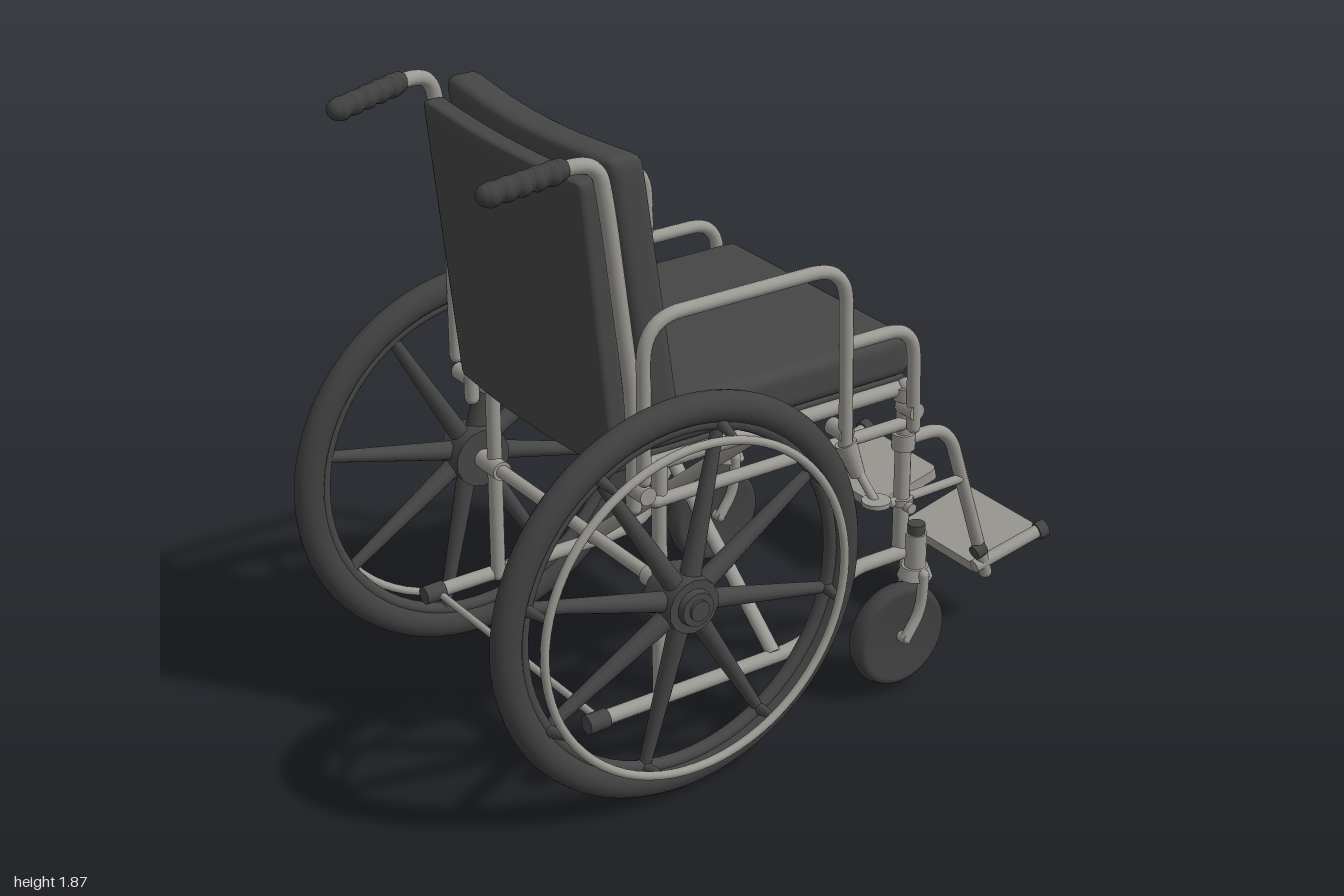
import * as THREE from 'three';
import { mergeVertices } from 'three/addons/utils/BufferGeometryUtils.js';

const V = (x, y, z) => new THREE.Vector3(x, y, z);

export function createModel() {
  const root = new THREE.Group();
  root.name = 'wheelchair';
  const mat = (name, color) => {
    const m = new THREE.MeshStandardMaterial({ color });
    m.name = name;
    return m;
  };
  const metal = mat('satin metal', 0x9c9a94);
  const dark = mat('black padding', 0x464646);
  const rubber = mat('black rubber', 0x414141);

  const add = (parent, name, geo, m, x = 0, y = 0, z = 0) => {
    const mesh = new THREE.Mesh(geo, m);
    mesh.name = name;
    mesh.position.set(x, y, z);
    parent.add(mesh);
    return mesh;
  };

  // Straight rod between two points, optionally tapered
  const rod = (parent, name, a, b, r, m, r2 = r) => {
    const d = b.clone().sub(a);
    const mesh = add(parent, name, new THREE.CylinderGeometry(r2, r, d.length(), 14), m);
    mesh.position.copy(a).addScaledVector(d, 0.5);
    mesh.quaternion.setFromUnitVectors(V(0, 1, 0), d.normalize());
    return mesh;
  };

  // Bent pipe with rounded corners and rounded ends
  const pipe = (parent, name, pts, r, m, bend = 0.08) => {
    const path = new THREE.CurvePath();
    let from = pts[0];
    for (let i = 1; i < pts.length - 1; i++) {
      const p = pts[i];
      const cut = (q) => p.clone().add(q.clone().sub(p).setLength(Math.min(bend, q.distanceTo(p) * 0.48)));
      const a = cut(pts[i - 1]), b = cut(pts[i + 1]);
      path.add(new THREE.LineCurve3(from, a));
      path.add(new THREE.QuadraticBezierCurve3(a, p, b));
      from = b;
    }
    path.add(new THREE.LineCurve3(from, pts[pts.length - 1]));
    const g = new THREE.Group();
    g.name = name;
    parent.add(g);
    add(g, name + 'Tube', new THREE.TubeGeometry(path, 20 * pts.length, r, 12), m);
    for (const p of [pts[0], pts[pts.length - 1]])
      add(g, name + 'End', new THREE.SphereGeometry(r, 12, 8), m, p.x, p.y, p.z);
  };

  // Soft rounded pad; shape(p) bends each vertex
  const pad = (name, w, h, d, r, m, shape, x, y, z) => {
    let geo = new THREE.BoxGeometry(2, 2, 2, 20, 20, 20);
    geo.deleteAttribute('normal');
    geo.deleteAttribute('uv');
    geo = mergeVertices(geo, 1e-4);
    const pos = geo.attributes.position, half = V(w / 2, h / 2, d / 2);
    const p = V(0, 0, 0), q = V(0, 0, 0);
    const inner = half.clone().subScalar(r), low = inner.clone().negate();
    for (let i = 0; i < pos.count; i++) {
      p.fromBufferAttribute(pos, i);
      for (const k of ['x', 'y', 'z']) p[k] = Math.sin(p[k] * Math.PI / 2) * half[k];
      q.copy(p).clamp(low, inner);
      p.sub(q);
      if (p.length() > r) p.setLength(r);
      p.add(q);
      shape(p);
      pos.setXYZ(i, p.x, p.y, p.z);
    }
    geo.computeVertexNormals();
    return add(root, name, geo, m, x, y, z);
  };

  // Upholstery
  const across = (z) => Math.cos(z / 0.41 * Math.PI / 2);
  pad('seatCushion', 0.89, 0.13, 0.86, 0.035, dark, (p) => {
    if (p.y < 0) p.y -= 0.02 * across(p.z);
  }, 0.015, 1.05, 0);
  pad('seatSling', 0.88, 0.025, 0.82, 0.012, dark, (p) => { p.y -= 0.04 * across(p.z); }, 0.015, 0.975, 0);
  pad('backCushion', 0.115, 0.76, 0.83, 0.035, dark, (p) => {
    p.x -= 0.148 * p.y + 0.025 * across(p.z);
    p.y -= 0.012 * across(p.z) * Math.max(0, p.y / 0.38);
  }, -0.425, 1.455, 0);
  pad('backSling', 0.07, 0.85, 0.79, 0.02, dark, (p) => {
    p.x -= 0.11 * p.y + 0.025 * across(p.z);
  }, -0.535, 1.36, 0);

  for (const s of [1, -1]) {
    const side = new THREE.Group();
    side.name = s > 0 ? 'leftSide' : 'rightSide';
    root.add(side);
    const P = (x, y, z) => V(x, y, z * s);
    const path = (z, ...xy) => xy.map(([x, y]) => P(x, y, z));

    // Rear wheel
    const wheel = new THREE.Group();
    wheel.name = 'rearWheel';
    wheel.position.set(-0.405, 0.597, 0.537 * s);
    side.add(wheel);
    add(wheel, 'tyre', new THREE.TorusGeometry(0.55, 0.045, 16, 72), rubber).scale.z = 0.84;
    add(wheel, 'rim', new THREE.TorusGeometry(0.505, 0.02, 10, 64), dark);
    add(wheel, 'handRim', new THREE.TorusGeometry(0.487, 0.0125, 10, 72), metal, 0, 0, 0.088 * s);
    rod(wheel, 'hub', V(0, 0, -0.05 * s), V(0, 0, 0.065 * s), 0.09, dark, 0.08);
    rod(wheel, 'hubCap', V(0, 0, 0.06 * s), V(0, 0, 0.085 * s), 0.055, dark, 0.05);
    rod(wheel, 'axleNut', V(0, 0, 0.08 * s), V(0, 0, 0.095 * s), 0.03, dark);
    for (let i = 0; i < 8; i++) {
      const a = (-14 + 45 * i) * Math.PI / 180, at = (r, z) => V(Math.cos(a) * r, Math.sin(a) * r, z * s);
      rod(wheel, 'spoke', at(0.06, 0.02), at(0.5, 0), 0.03, dark, 0.017);
      rod(wheel, 'handRimMount', at(0.505, 0.01), at(0.487, 0.088), 0.018, dark, 0.009);
    }

    // Front caster with fork and stem
    const profile = [[0, -0.022], [0.1, -0.022], [0.135, -0.034], [0.152, -0.026], [0.16, 0],
      [0.152, 0.026], [0.135, 0.034], [0.1, 0.022], [0, 0.022]].map(([r, y]) => new THREE.Vector2(r, y));
    add(side, 'casterWheel', new THREE.LatheGeometry(profile, 40), rubber, 0.405, 0.19, 0.465 * s).rotation.x = Math.PI / 2;
    for (const o of [-0.043, 0.043])
      pipe(side, 'casterFork', path(0.465 + o, [0.465, 0.38], [0.46, 0.27], [0.405, 0.19]), 0.017, metal, 0.07);
    rod(side, 'casterAxle', P(0.405, 0.19, 0.412), P(0.405, 0.19, 0.518), 0.016, metal);
    rod(side, 'forkCrown', P(0.467, 0.36, 0.465), P(0.467, 0.395, 0.465), 0.052, metal, 0.04);
    rod(side, 'casterStem', P(0.467, 0.39, 0.465), P(0.467, 0.5, 0.465), 0.032, metal);
    rod(side, 'stemCap', P(0.467, 0.5, 0.465), P(0.467, 0.53, 0.465), 0.026, dark);

    // Side frame
    pipe(side, 'lowerRail', path(0.44, [-0.6, 0.235], [0.08, 0.24], [0.17, 0.3], [0.22, 0.435], [0.44, 0.435]), 0.022, metal, 0.09);
    rod(side, 'railCap', P(-0.65, 0.233, 0.44), P(-0.585, 0.235, 0.44), 0.028, dark);
    pipe(side, 'seatRail', path(0.42, [-0.44, 0.952], [0.45, 0.952]), 0.022, metal);
    pipe(side, 'middleRail', path(0.44, [-0.42, 0.85], [0.44, 0.85]), 0.019, metal);
    pipe(side, 'rearPost', path(0.43, [-0.4, 0.235], [-0.4, 0.95]), 0.022, metal);
    pipe(side, 'frontPost', path(0.43, [0.437, 0.435], [0.437, 0.96]), 0.024, metal);
    for (const [y, h] of [[0.6, 0.02], [0.79, 0.05], [0.94, 0.04]])
      rod(side, 'postCollar', P(0.437, y - h / 2, 0.43), P(0.437, y + h / 2, 0.43), 0.034, metal);

    // Back post and push handle
    pipe(side, 'backPost', [P(-0.475, 0.84, 0.42), P(-0.475, 1.15, 0.42), P(-0.55, 1.72, 0.42),
      P(-0.575, 1.845, 0.418), P(-0.72, 1.838, 0.4)], 0.022, metal, 0.1);
    pipe(side, 'handleGrip', [P(-0.68, 1.84, 0.406), P(-0.88, 1.81, 0.384)], 0.03, rubber);
    for (let i = 0; i < 5; i++)
      add(side, 'gripRidge', new THREE.SphereGeometry(0.034, 12, 8), rubber,
        -0.7 - i * 0.042, 1.835 - i * 0.0063, (0.404 - i * 0.0046) * s);

    // Armrest and lower step
    pipe(side, 'armrest', path(0.485, [-0.485, 0.95], [-0.485, 1.41], [0.175, 1.41], [0.187, 0.84]), 0.02, metal, 0.12);
    pipe(side, 'armrestStep', path(0.475, [0.185, 1.165], [0.425, 1.165], [0.435, 0.85]), 0.02, metal, 0.1);
    for (const x of [-0.475, 0.187, 0.435])
      rod(side, 'armrestSocket', P(x, 0.9, 0.42), P(x, 0.9, 0.49), 0.026, metal);

    // Brake
    rod(side, 'brakeBody', P(0.19, 0.87, 0.48), P(0.22, 0.77, 0.5), 0.032, metal, 0.022);
    rod(side, 'brakeLever', P(0.215, 0.8, 0.49), P(0.235, 0.71, 0.56), 0.013, metal);
    rod(side, 'brakePaddle', P(0.232, 0.705, 0.57), P(0.232, 0.718, 0.57), 0.042, metal);

    // Leg rest and footplate
    pipe(side, 'legRest', [P(0.44, 0.79, 0.43), P(0.6, 0.79, 0.43), P(0.785, 0.25, 0.41)], 0.02, metal, 0.1);
    pipe(side, 'legRestBrace', path(0.43, [0.4, 0.6], [0.65, 0.605]), 0.014, metal);
    rod(side, 'braceClamp', P(0.437, 0.59, 0.4), P(0.437, 0.59, 0.48), 0.016, metal);
    const foot = new THREE.Group();
    foot.name = 'footrest';
    foot.position.set(0.87, 0.295, 0);
    foot.rotation.z = 0.24;
    side.add(foot);
    const shape = new THREE.Shape(), w = 0.125, c = 0.03, z0 = -0.17, z1 = 0.17;
    shape.moveTo(-w + c, z0).lineTo(w - c, z0).quadraticCurveTo(w, z0, w, z0 + c);
    shape.lineTo(w, z1 - c).quadraticCurveTo(w, z1, w - c, z1).lineTo(-w + c, z1);
    shape.quadraticCurveTo(-w, z1, -w, z1 - c).lineTo(-w, z0 + c).quadraticCurveTo(-w, z0, -w + c, z0);
    const plate = new THREE.ExtrudeGeometry(shape, { depth: 0.035, bevelEnabled: false });
    plate.rotateX(Math.PI / 2);
    add(foot, 'footplate', plate, metal, 0, 0.018, 0.235 * s);
    rod(foot, 'footplateHinge', V(-0.13, 0.015, 0.41 * s), V(0.12, 0.015, 0.425 * s), 0.02, metal);
    rod(foot, 'hingeCap', V(0.105, 0.015, 0.425 * s), V(0.135, 0.015, 0.43 * s), 0.027, dark);
    rod(side, 'legRestCap', P(0.725, 0.335, 0.425), P(0.76, 0.345, 0.425), 0.022, dark);

    // Folding cross brace, one bar per side
    rod(root, 'crossBrace', P(-0.045 - 0.025 * s, 0.93, 0.4), P(-0.045 - 0.025 * s, 0.25, -0.44), 0.021, metal);
    rod(side, 'axleSleeve', P(-0.405, 0.597, 0.38), P(-0.405, 0.597, 0.5), 0.03, metal);
  }

  // Parts joining both sides
  rod(root, 'axleBar', V(-0.405, 0.597, -0.5), V(-0.405, 0.597, 0.5), 0.02, metal);
  rod(root, 'rearCrossBar', V(-0.6, 0.228, -0.44), V(-0.6, 0.228, 0.44), 0.011, metal);
  rod(root, 'bracePivot', V(-0.1, 0.59, 0), V(0.01, 0.59, 0), 0.015, metal);
  return root;
}
